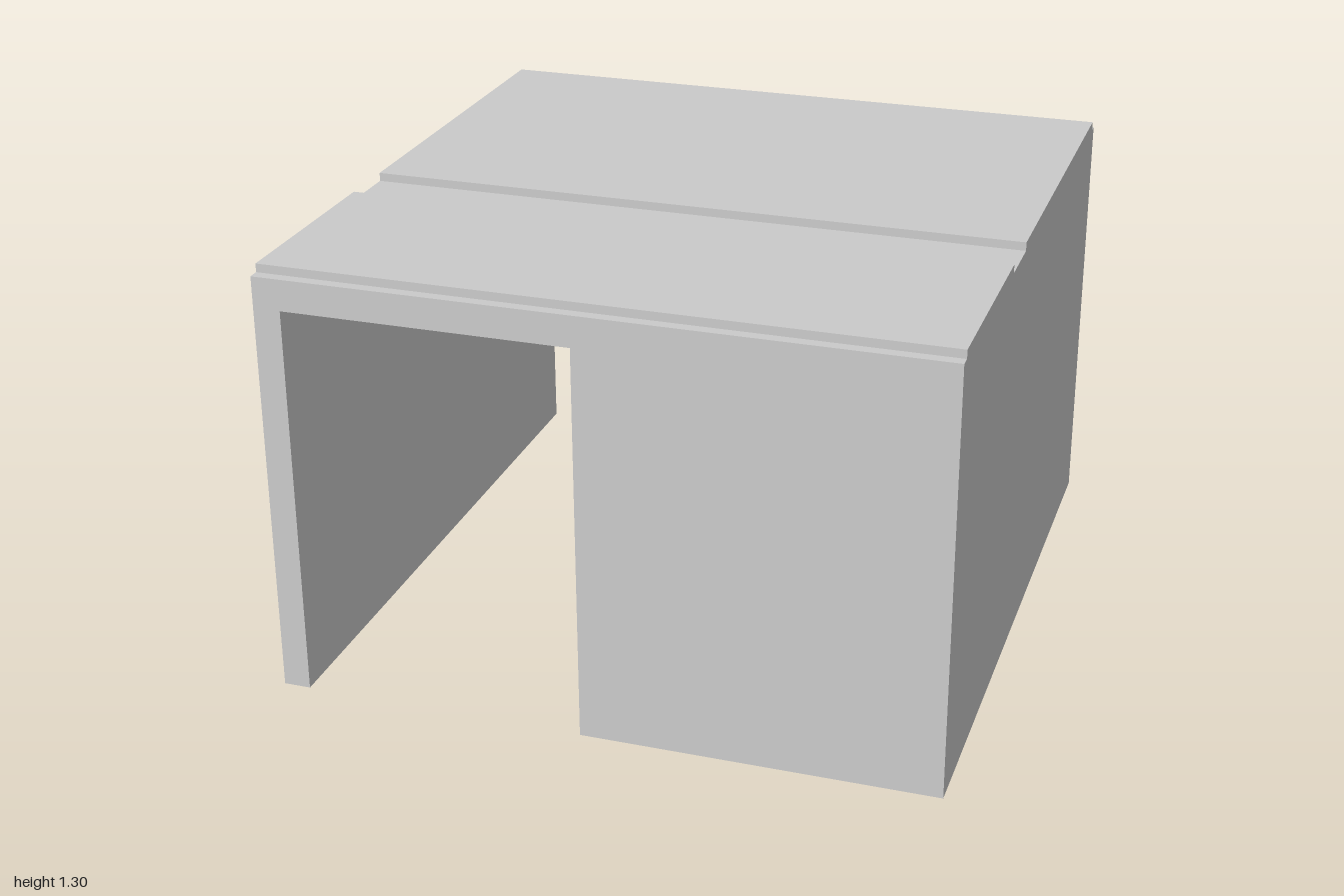
import * as THREE from 'three';

const HALF_W = 0.98, LEDGE_Y = 1.275, TOP_Y = 1.3;

export function createModel() {
  const model = new THREE.Group();
  model.name = 'portalBlock';
  const material = new THREE.MeshStandardMaterial({ color: 0xcccccc, flatShading: true });

  const add = (name, geometry) => {
    const mesh = new THREE.Mesh(geometry, material);
    mesh.name = name;
    model.add(mesh);
    return mesh;
  };

  // Body: thin wall, roof and solid block around an open passage
  const outline = new THREE.Shape([
    [-HALF_W, 0], [-0.9, 0], [-0.9, 1.183], [-0.062, 1.183], [-0.062, 0],
    [HALF_W, 0], [HALF_W, LEDGE_Y], [-HALF_W, LEDGE_Y],
  ].map(([x, y]) => new THREE.Vector2(x, y)));
  const body = new THREE.ExtrudeGeometry(outline, { depth: 2, bevelEnabled: false });
  body.translate(0, 0, -1);

  // The passage narrows very slightly towards the back
  const p = body.attributes.position;
  for (let i = 0; i < p.count; i++) {
    if (Math.abs(p.getX(i) + 0.062) < 0.001 && p.getZ(i) < 0) p.setX(i, -0.072);
  }
  body.computeVertexNormals();
  add('body', body);

  // Raised roof panels, leaving a cross groove and a ledge at each end
  for (const [name, z0, z1] of [['rearRoofPanel', -0.97, 0.175], ['frontRoofPanel', 0.353, 0.967]]) {
    const panel = add(name, new THREE.BoxGeometry(HALF_W * 2, TOP_Y - LEDGE_Y, z1 - z0));
    panel.position.set(0, (TOP_Y + LEDGE_Y) / 2, (z0 + z1) / 2);
  }

  return model;
}
